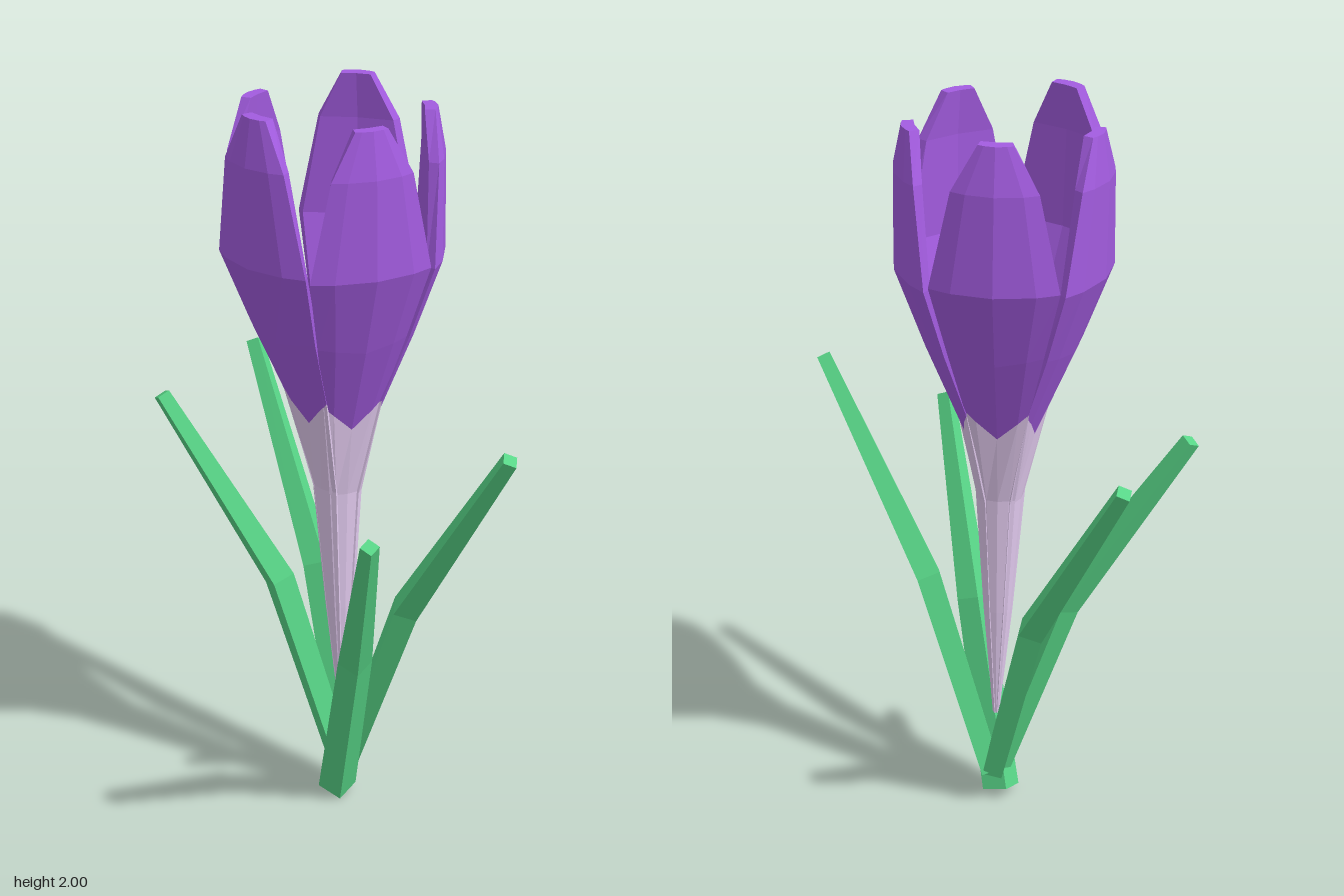
import * as THREE from 'three';

const material = (color) => new THREE.MeshStandardMaterial({ color, flatShading: true, side: THREE.DoubleSide });
const purple = material(0xa35ce0);
const lilac = material(0xe4ccf1);
const green = material(0x58d587);

// Closed skin over a list of cross-sections, each an anticlockwise ring of Vector3
function loft(rings) {
  const n = rings[0].length, last = (rings.length - 1) * n, index = [];
  for (let r = 0; r < rings.length - 1; r++) {
    for (let i = 0; i < n; i++) {
      const a = r * n + i, b = r * n + (i + 1) % n;
      index.push(a, b, b + n, a, b + n, a + n);
    }
  }
  for (let i = 1; i < n - 1; i++) {
    index.push(0, i + 1, i, last, last + i, last + i + 1);
  }
  const geometry = new THREE.BufferGeometry().setFromPoints(rings.flat());
  geometry.setIndex(index);
  const flat = geometry.toNonIndexed();
  flat.computeVertexNormals();
  return flat;
}

function addMesh(parent, name, geometry, mat) {
  const mesh = new THREE.Mesh(geometry, mat);
  mesh.name = name;
  parent.add(mesh);
}

// Petal section: [sideways fraction, inward drop fraction, 1 on the inner face]
const SECTION = [[-1, 1, 0], [-0.65, 0.42, 0], [0, 0, 0], [0.65, 0.42, 0], [1, 1, 0],
  [0.9, 0.4, 1], [0, 0.05, 1], [-0.9, 0.4, 1]];

// Petal row: height, outer radius, half width, thickness, upward sweep of the edges
function petalRing([y, radius, width, thick, sweep]) {
  return SECTION.map(([t, drop, inner]) => new THREE.Vector3(
    t * (width + sweep * 0.15),
    y + sweep * Math.abs(t),
    radius + sweep * 0.4 * Math.abs(t) - drop * width * 0.28 - inner * thick
  ));
}

const SEAM = [1.15, 0.102, 0.07, 0.03, 0.08];
const LOWER = [[0.27, 0.008, 0.007, 0.006, 0], [0.6, 0.038, 0.028, 0.015, 0], [0.95, 0.064, 0.045, 0.022, 0], SEAM];
const UPPER = [SEAM, [1.4, 0.21, 0.118, 0.042, 0.02], [1.62, 0.295, 0.162, 0.048, 0],
  [1.88, 0.296, 0.108, 0.044, 0], [2.0, 0.275, 0.043, 0.035, 0]];

// Each petal: name, turn in degrees, outward reach, height
const PETALS = [
  ['frontPetal', 3, 1, 1], ['leftPetal', 72, 0.94, 0.99], ['backLeftPetal', 144, 0.95, 0.985],
  ['backRightPetal', 216, 0.99, 0.997], ['rightPetal', 288, 0.94, 0.987],
];

// Four-sided tapering leaf through base, bend and tip
function leafGeometry(points, sizes) {
  const p = points.map((q) => new THREE.Vector3(...q));
  const heading = new THREE.Vector3(p[2].x - p[0].x, 0, p[2].z - p[0].z).normalize();
  const side = new THREE.Vector3(heading.z, 0, -heading.x);
  const rings = p.map((centre, k) => {
    const along = p[Math.min(k + 1, 2)].clone().sub(p[Math.max(k - 1, 0)]).normalize();
    const normal = new THREE.Vector3().crossVectors(along, side).normalize();
    return [[1, 0], [0, 1], [-1, 0], [0, -1]].map(([a, b]) =>
      centre.clone().addScaledVector(side, a * sizes[k]).addScaledVector(normal, b * sizes[k]));
  });
  return loft(rings);
}

export function createModel() {
  const model = new THREE.Group();
  model.name = 'springFlower';

  // Cup of five petals, running down into a pale tube
  const flower = new THREE.Group();
  flower.name = 'flower';
  for (const [name, turn, reach, height] of PETALS) {
    const petal = new THREE.Group();
    petal.name = name;
    addMesh(petal, 'petalBase', loft(LOWER.map(petalRing)), lilac);
    addMesh(petal, 'petalBlade', loft(UPPER.map(petalRing)), purple);
    petal.rotation.y = THREE.MathUtils.degToRad(turn);
    petal.scale.set(1, height, reach);
    flower.add(petal);
  }
  flower.position.x = -0.008;
  flower.rotation.z = 0.018;
  model.add(flower);

  // Four bent leaves
  const wide = [0.052, 0.046, 0.025];
  const slim = [0.038, 0.045, 0.025];
  const leaves = [
    ['frontLeftLeaf', [[-0.022, 0.022, 0.01], [0.16, 0.52, 0.1], [0.41, 1.01, 0.265]], wide],
    ['backLeftLeaf', [[-0.025, 0.1, -0.035], [0.19, 0.64, -0.05], [0.55, 1.195, -0.07]], slim],
    ['frontRightLeaf', [[-0.02, 0.105, 0.0], [-0.18, 0.63, 0.08], [-0.45, 1.135, 0.26]], slim],
    ['backRightLeaf', [[-0.03, 0.1, -0.03], [-0.2, 0.62, -0.07], [-0.545, 1.16, -0.13]], slim],
  ];
  for (const [name, points, sizes] of leaves) addMesh(model, name, leafGeometry(points, sizes), green);

  return model;
}
